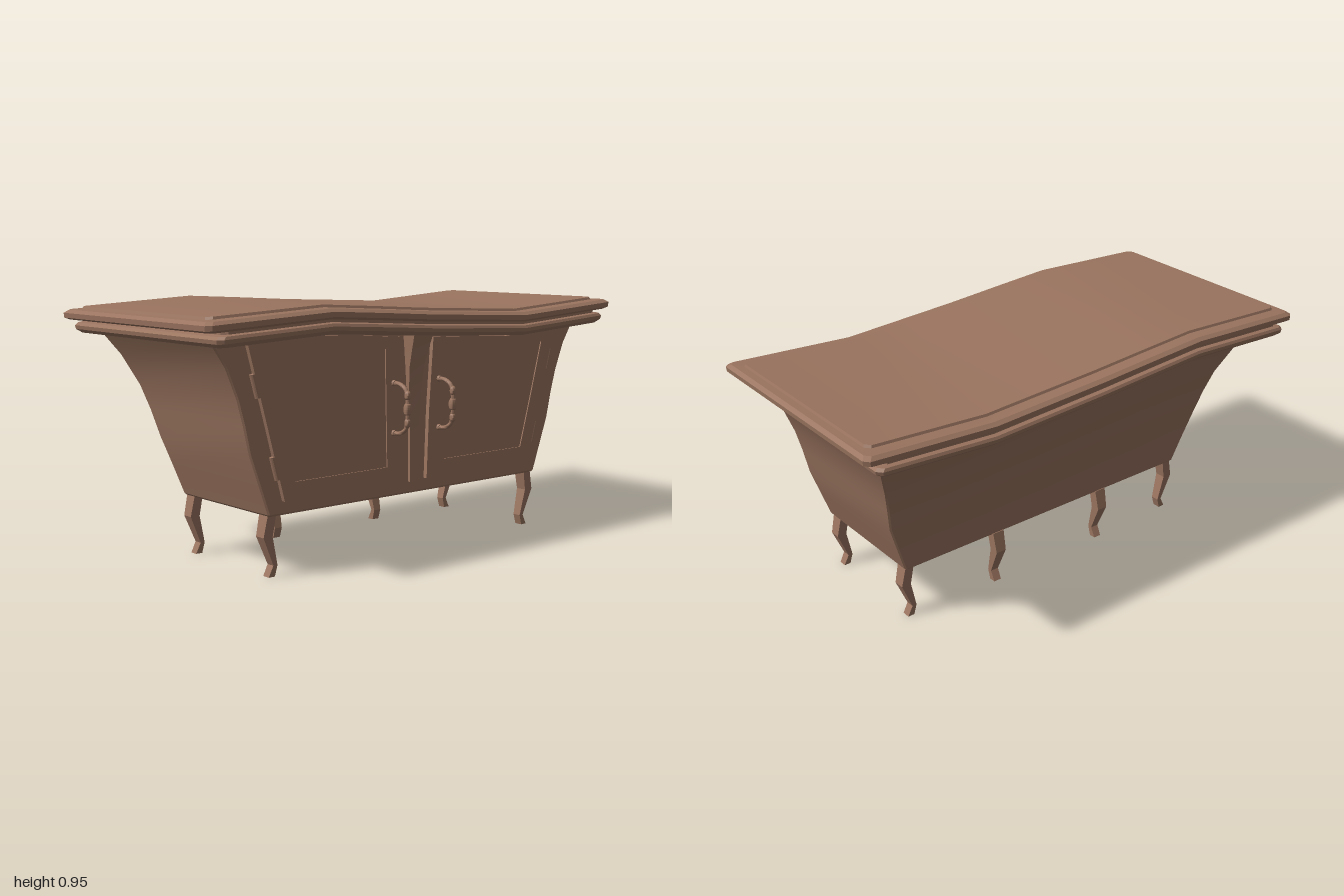
import * as THREE from 'three';
import { toCreasedNormals } from 'three/addons/utils/BufferGeometryUtils.js';

const wood = new THREE.MeshStandardMaterial({ color: 0x9a745f, roughness: 0.8, side: THREE.DoubleSide });

// Height offset of the wavy counter along x
const WAVE = [[-1, 0], [-0.48, 0.026], [-0.24, 0.012], [0, -0.003], [0.24, -0.014], [0.48, -0.025], [1, 0.01]];
function wave(x) {
  const i = Math.max(1, WAVE.findIndex(([k]) => k >= x));
  const [x0, y0] = WAVE[i - 1], [x1, y1] = WAVE[i];
  return y0 + (y1 - y0) * (x - x0) / (x1 - x0);
}

function mesh(name, geometry, crease = 0.5) {
  const m = new THREE.Mesh(toCreasedNormals(geometry, crease), wood);
  m.name = name;
  return m;
}

// Stack of chamfered rectangles, each level [y, halfX, frontZ, backZ, waveAmount]
function loft(levels, chamfer) {
  const pos = [], idx = [];
  let n = 0;
  for (const [y, hx, zf, zb, amount] of levels) {
    const xs = [-hx, -hx + chamfer, -0.48, -0.24, 0, 0.24, 0.48, hx - chamfer, hx];
    n = xs.length;
    const put = (i, z, inward) => {
      const end = i === 0 || i === n - 1;
      pos.push(xs[i], y + amount * wave(xs[i]), end ? z + inward * chamfer : z);
    };
    for (let i = 0; i < n; i++) put(i, zf, -1);
    for (let i = n - 1; i >= 0; i--) put(i, zb, 1);
  }
  const ring = 2 * n, last = (levels.length - 1) * ring;
  const quad = (a, b, c, d) => idx.push(a, b, c, a, c, d);
  for (let l = 0; l < last; l += ring)
    for (let i = 0; i < ring; i++) {
      const j = (i + 1) % ring;
      quad(l + i, l + j, l + ring + j, l + ring + i);
    }
  for (let i = 0; i < n - 1; i++) {
    const a = ring - 1 - i, b = a - 1;
    quad(last + i, last + i + 1, last + b, last + a);
    quad(a, b, i + 1, i);
  }
  const g = new THREE.BufferGeometry();
  g.setAttribute('position', new THREE.Float32BufferAttribute(pos, 3));
  g.setIndex(idx);
  return g;
}

// Box whose horizontal rows are replaced: row(t) gives { y, x0, x1, z0, z1 }
function rowBox(rows) {
  const g = new THREE.BoxGeometry(1, 1, 1, 1, rows.length - 1, 1);
  const p = g.attributes.position;
  for (let i = 0; i < p.count; i++) {
    const r = rows[Math.round((p.getY(i) + 0.5) * (rows.length - 1))];
    p.setXYZ(i, p.getX(i) < 0 ? r.x0 : r.x1, r.y, p.getZ(i) < 0 ? r.z0 : r.z1);
  }
  return g;
}

// Curved leg bending toward local +x, its outer top edge at x = 0
function makeLeg(name, x, z, turn) {
  const rows = [[0, -0.035, -0.008, 0.016], [0.04, -0.046, -0.028, 0.017], [0.145, -0.022, 0.017, 0.022], [0.225, -0.036, 0, 0.025]]
    .map(([y, x0, x1, h]) => ({ y, x0, x1, z0: -h, z1: h }));
  const leg = mesh(name, rowBox(rows), 0.3);
  leg.position.set(x, 0, z);
  leg.rotation.y = turn;
  return leg;
}

function makeShape(points, s, Type = THREE.Shape) {
  const shape = new Type();
  points.forEach(([x, y, follow], i) => {
    const yy = y + (follow ? wave(s * x) : 0);
    i ? shape.lineTo(s * x, yy) : shape.moveTo(s * x, yy);
  });
  shape.closePath();
  return shape;
}

function makeDoor(s) {
  const door = new THREE.Group();
  door.name = s > 0 ? 'leftDoor' : 'rightDoor';
  const outline = [[0.055, 0.27], [0.62, 0.27], [0.69, 0.53], [0.77, 0.81, 1], [0.48, 0.812, 1], [0.24, 0.812, 1], [0.085, 0.81, 1], [0.065, 0.53]];
  const opening = [[0.145, 0.335], [0.575, 0.335], [0.63, 0.53], [0.69, 0.765, 1], [0.48, 0.765, 1], [0.24, 0.765, 1], [0.155, 0.765, 1]];

  const frameShape = makeShape(outline, s);
  frameShape.holes.push(makeShape(opening, s, THREE.Path));
  const frame = mesh('doorFrame', new THREE.ExtrudeGeometry(frameShape, { depth: 0.02, bevelEnabled: false }));
  frame.position.z = 0.352;
  const panel = mesh('doorPanel', new THREE.ExtrudeGeometry(makeShape(opening, s), { depth: 0.015, bevelEnabled: false }));
  panel.position.z = 0.352;
  door.add(frame, panel);

  // Hinges along the outer edge
  for (const [x, y] of [[0.655, 0.39], [0.735, 0.68]]) {
    const hinge = mesh('hinge', new THREE.CylinderGeometry(0.011, 0.011, 0.085, 12));
    hinge.position.set(s * x, y, 0.362);
    hinge.rotation.z = -s * 0.27;
    door.add(hinge);
  }

  // Bowed handle with beads in its grip
  const handle = new THREE.Group();
  handle.name = 'handle';
  const path = new THREE.CatmullRomCurve3([[0.645, 0.368], [0.643, 0.405], [0.625, 0.437], [0.59, 0.447], [0.515, 0.447], [0.48, 0.437], [0.462, 0.405], [0.46, 0.368]]
    .map(([y, z]) => new THREE.Vector3(0, y, z)));
  handle.add(mesh('handleBar', new THREE.TubeGeometry(path, 32, 0.008, 10), 1));
  for (const [y, r] of [[0.605, 0.012], [0.555, 0.016], [0.505, 0.012]]) {
    const bead = mesh('handleBead', new THREE.SphereGeometry(r, 14, 10), 1);
    bead.scale.y = 1.6;
    bead.position.set(0, y, 0.447);
    handle.add(bead);
  }
  for (const y of [0.645, 0.46]) {
    const foot = mesh('handleMount', new THREE.CylinderGeometry(0.01, 0.012, 0.01, 12));
    foot.rotation.x = Math.PI / 2;
    foot.position.set(0, y, 0.376);
    handle.add(foot);
  }
  handle.position.x = s * 0.115;
  door.add(handle);
  return door;
}

export function createModel() {
  const model = new THREE.Group();
  model.name = 'cabinet';

  // Flared body, upright in front and sweeping out at the sides and back
  model.add(mesh('body', loft([
    [0.22, 0.67, 0.35, -0.165, 0],
    [0.227, 0.678, 0.355, -0.172, 0],
    [0.33, 0.715, 0.355, -0.188, 0.15],
    [0.44, 0.755, 0.355, -0.207, 0.3],
    [0.54, 0.778, 0.355, -0.235, 0.45],
    [0.63, 0.803, 0.355, -0.265, 0.6],
    [0.74, 0.848, 0.355, -0.318, 0.8],
    [0.825, 0.905, 0.355, -0.355, 1],
  ], 0.006)));

  // Wavy counter: lower moulding, groove, upper moulding and raised panel
  const tiers = [
    [0.82, 0.935, 0.455], [0.834, 0.952, 0.472], [0.848, 0.955, 0.475], [0.858, 0.945, 0.47],
    [0.862, 0.925, 0.455], [0.872, 0.925, 0.455],
    [0.872, 0.98, 0.462], [0.88, 0.998, 0.474], [0.898, 1, 0.475], [0.909, 0.985, 0.46],
    [0.911, 0.957, 0.415], [0.92, 0.953, 0.411],
  ];
  model.add(mesh('counter', loft(tiers.map(([y, hx, hz]) => [y, hx, hz, -hz, 1]), 0.018), 0.25));

  for (const s of [-1, 1]) model.add(makeDoor(s));

  // Central post between the doors, flaring forward below the counter
  const post = [[0.265, 0.02, 0.366], [0.45, 0.022, 0.366], [0.6, 0.03, 0.368], [0.7, 0.037, 0.378], [0.77, 0.043, 0.398], [0.822, 0.048, 0.415]]
    .map(([y, h, z1]) => ({ y, x0: -h - 0.005, x1: h - 0.005, z0: 0.34, z1 }));
  model.add(mesh('centrePost', rowBox(post)));

  // Corner legs bend sideways, the two middle ones bend backward
  for (const s of [-1, 1]) {
    const turn = s > 0 ? 0 : Math.PI;
    model.add(makeLeg('frontLeg', s * 0.67, 0.315, turn));
    model.add(makeLeg('backLeg', s * 0.67, -0.135, turn));
    model.add(makeLeg('middleLeg', s * 0.26 - 0.01, -0.173, Math.PI / 2));
  }
  return model;
}
